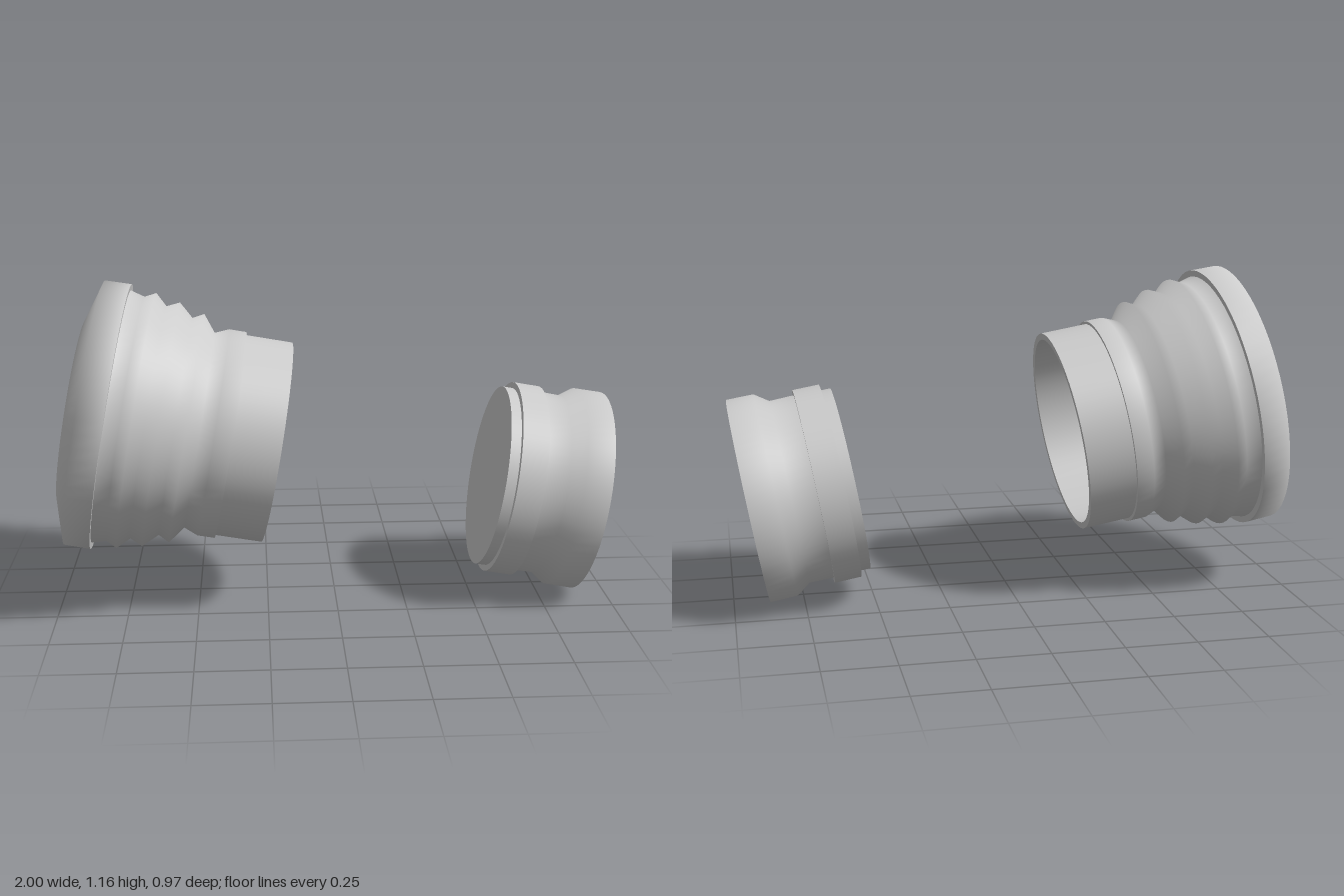
import * as THREE from 'three';

const TILT = THREE.MathUtils.degToRad(-100); // shared axis: pointing +x, dipping 10 degrees
const SEGMENTS = 64;

export function createModel() {
  const grey = new THREE.MeshStandardMaterial({ color: 0xcccccc });
  grey.name = 'light grey';

  // Revolve [radius, distance along axis] points; each list is one smooth run with sharp ends.
  const revolve = (parent, name, points) => {
    const profile = points.map(([r, t]) => new THREE.Vector2(r, t));
    const mesh = new THREE.Mesh(new THREE.LatheGeometry(profile, SEGMENTS), grey);
    mesh.name = name;
    parent.add(mesh);
  };

  const model = new THREE.Group();
  model.name = 'cupAndPlug';
  const axis = new THREE.Group();
  axis.name = 'tiltedAxis';
  axis.position.y = 0.532;
  axis.rotation.z = TILT;
  model.add(axis);

  // Hollow cup
  const cup = new THREE.Group();
  cup.name = 'cup';
  axis.add(cup);
  const ridges = [
    [0.46, -0.817], [0.446, -0.766], [0.466, -0.727], [0.425, -0.684], [0.446, -0.638],
    [0.398, -0.585], [0.419, -0.545], [0.358, -0.498],
  ];
  revolve(cup, 'domedCap', [[0, -0.96], [0.33, -0.96], [0.481, -0.912], [0.483, -0.817]]);
  revolve(cup, 'capShoulder', [[0.483, -0.817], [0.46, -0.817]]);
  revolve(cup, 'ridgedWall', [...ridges, [0.379, -0.448], [0.379, -0.385]]);
  revolve(cup, 'collarStep', [[0.379, -0.385], [0.368, -0.385]]);
  revolve(cup, 'mouthOuterWall', [[0.368, -0.385], [0.368, -0.215]]);
  revolve(cup, 'mouthLip', [[0.368, -0.215], [0.345, -0.215]]);

  // Inside of the cup
  revolve(cup, 'mouthInnerWall', [[0.345, -0.215], [0.345, -0.385]]);
  revolve(cup, 'innerLedge', [[0.345, -0.385], [0.328, -0.385]]);
  revolve(cup, 'innerNeck', [[0.328, -0.385], [0.328, -0.498]]);
  revolve(cup, 'innerRidges', ridges.map(([r, t]) => [r - 0.03, t]).reverse());
  revolve(cup, 'innerFloor', [[0.43, -0.817], [0.43, -0.89], [0.33, -0.93], [0, -0.93]]);

  // Solid plug
  const plug = new THREE.Group();
  plug.name = 'plug';
  axis.add(plug);
  revolve(plug, 'innerEndFace', [[0, 0.58], [0.332, 0.58]]);
  revolve(plug, 'pilotRing', [[0.332, 0.58], [0.332, 0.617]]);
  revolve(plug, 'sealBackFace', [[0.332, 0.617], [0.354, 0.617]]);
  revolve(plug, 'sealRing', [[0.354, 0.617], [0.354, 0.713]]);
  revolve(plug, 'sealFrontFace', [[0.354, 0.713], [0.335, 0.713]]);
  revolve(plug, 'neckAndFlange', [[0.335, 0.713], [0.333, 0.8], [0.368, 0.85], [0.369, 0.948]]);
  revolve(plug, 'outerEndFace', [[0.369, 0.948], [0, 0.948]]);

  return model;
}
